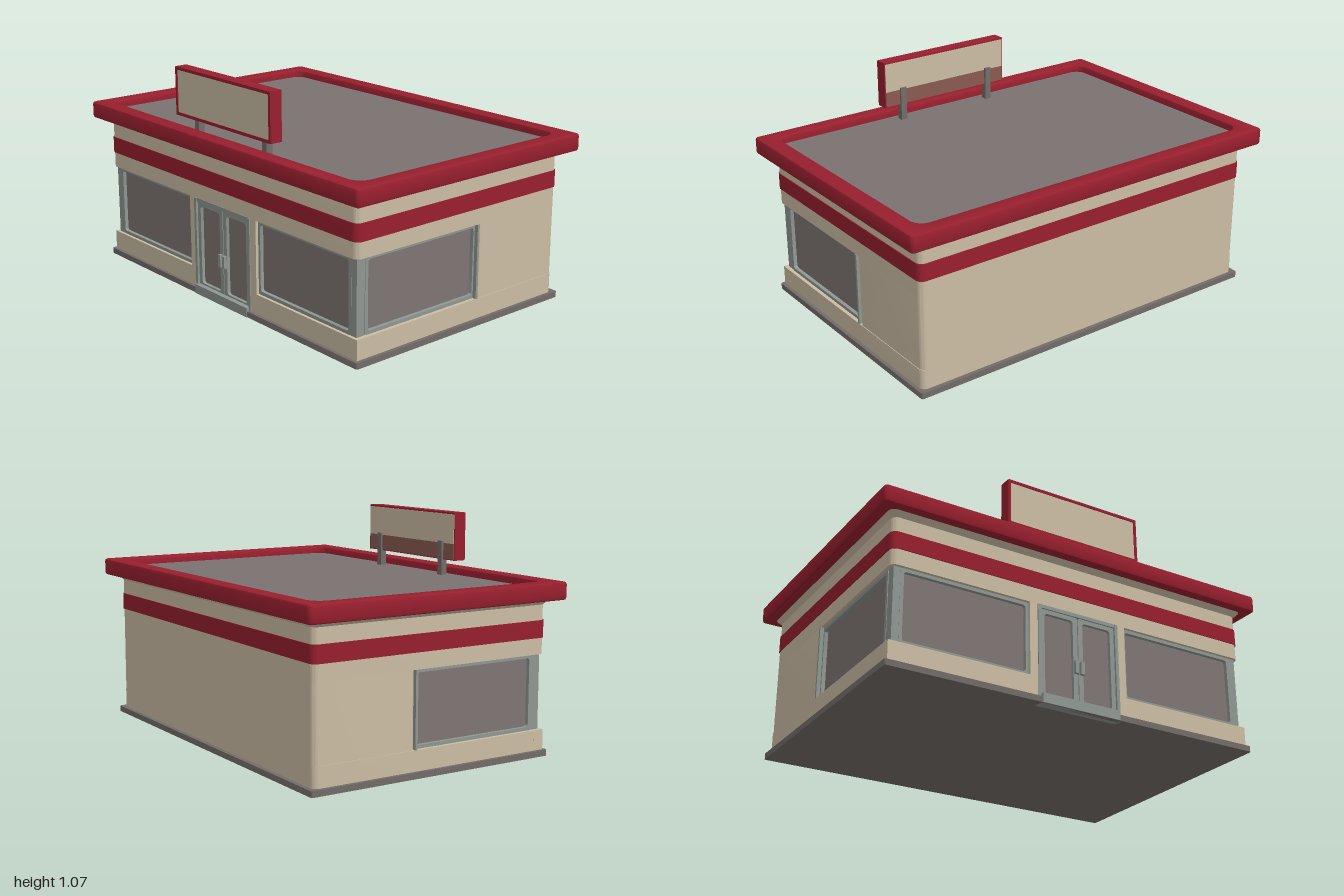
import * as THREE from 'three';
import { toCreasedNormals } from 'three/addons/utils/BufferGeometryUtils.js';

const mat = (name, color) => new THREE.MeshStandardMaterial({ name, color });

// Rounded rectangle outline
function outline(x0, x1, y0, y1, r, Type = THREE.Shape) {
  const s = new Type();
  s.moveTo(x0 + r, y0);
  s.lineTo(x1 - r, y0);
  s.absarc(x1 - r, y0 + r, r, -Math.PI / 2, 0);
  s.lineTo(x1, y1 - r);
  s.absarc(x1 - r, y1 - r, r, 0, Math.PI / 2);
  s.lineTo(x0 + r, y1);
  s.absarc(x0 + r, y1 - r, r, Math.PI / 2, Math.PI);
  s.lineTo(x0, y0 + r);
  s.absarc(x0 + r, y0 + r, r, Math.PI, Math.PI * 1.5);
  return s;
}

// Horizontal slab with rounded corners, optionally widened at its top
function slab(x, zBack, zFront, y0, y1, r, flare = 0) {
  const geo = new THREE.ExtrudeGeometry(outline(-x, x, -zFront, -zBack, r),
    { depth: y1 - y0, bevelEnabled: false, curveSegments: 5 });
  geo.rotateX(-Math.PI / 2);
  geo.translate(0, y0, 0);
  const p = geo.attributes.position;
  for (let i = 0; flare && i < p.count; i++) {
    if (p.getY(i) < (y0 + y1) / 2) continue;
    p.setX(i, p.getX(i) + Math.sign(p.getX(i)) * flare);
    p.setZ(i, p.getZ(i) + Math.sign(p.getZ(i)) * flare);
  }
  return toCreasedNormals(geo, 0.6);
}

// Upright frame around a rounded opening, centred on the origin
function frame(w, h, border, depth, r) {
  const s = outline(-w / 2, w / 2, -h / 2, h / 2, r);
  s.holes.push(outline(-w / 2 + border, w / 2 - border, -h / 2 + border, h / 2 - border, r, THREE.Path));
  return toCreasedNormals(new THREE.ExtrudeGeometry(s,
    { depth, bevelEnabled: false, curveSegments: 4 }), 0.6);
}

export function createModel() {
  const model = new THREE.Group();
  model.name = 'shop';
  const cream = mat('cream wall', 0xcbbda4);
  const red = mat('red trim', 0x981f2e);
  const roofGrey = mat('roof grey', 0x7a7270);
  const glass = mat('window glass', 0x7f7573);
  const metal = mat('frame metal', 0x8f9792);
  const stone = mat('base grey', 0x736c69);
  const rust = mat('dull red', 0x8a5a50);

  const add = (name, geo, material, parent = model) => {
    const m = new THREE.Mesh(geo, material);
    m.name = name;
    parent.add(m);
    return m;
  };
  const box = (name, x0, x1, y0, y1, z0, z1, material, parent) => {
    const m = add(name, new THREE.BoxGeometry(x1 - x0, y1 - y0, z1 - z0), material, parent);
    m.position.set((x0 + x1) / 2, (y0 + y1) / 2, (z0 + z1) / 2);
    return m;
  };

  // Foundation and walls
  add('foundation', slab(0.945, -0.635, 0.63, 0, 0.028, 0.01), stone);
  add('lowerWall', slab(0.928, -0.615, 0.585, 0.028, 0.122, 0.03), cream);
  add('rearWall', slab(0.925, -0.615, -0.1, 0.122, 0.47, 0.03), cream);
  add('upperWall', slab(0.925, -0.615, 0.615, 0.47, 0.695, 0.03), cream);
  add('cornice', slab(0.925, -0.615, 0.615, 0.695, 0.722, 0.03, 0.025), cream);
  add('stripe', slab(0.929, -0.619, 0.619, 0.545, 0.625, 0.033), red);
  box('glassCore', -0.893, 0.893, 0.122, 0.47, -0.12, 0.583, glass);

  for (const side of [-1, 1]) {
    const name = side < 0 ? 'right' : 'left';
    const span = (a, b) => (side > 0 ? [a, b] : [-b, -a]);

    // Front sill and door pier
    box(name + 'Sill', ...span(0.207, 0.928), 0.028, 0.122, 0.56, 0.615, cream);
    box(name + 'Pier', ...span(0.207, 0.252), 0.122, 0.47, 0.56, 0.615, cream);

    // Window frames meeting at the corner post
    const front = add(name + 'FrontWindowFrame', frame(0.625, 0.348, 0.016, 0.02, 0.012), metal);
    front.position.set(side * 0.5625, 0.296, 0.581);
    const flank = add(name + 'SideWindowFrame', frame(0.655, 0.348, 0.016, 0.02, 0.012), metal);
    flank.rotation.y = side * Math.PI / 2;
    flank.position.set(side * 0.891, 0.296, 0.228);
    box(name + 'CornerPost', ...span(0.872, 0.908), 0.122, 0.47, 0.555, 0.6, metal);
    box(name + 'RearTrim', ...span(0.9, 0.929), 0.122, 0.47, -0.104, -0.092, metal);

    // Door leaf with glass and pull handle
    const leaf = add(name + 'DoorLeaf', frame(0.196, 0.43, 0.024, 0.022, 0.014), metal);
    leaf.position.set(side * 0.1, 0.244, 0.588);
    box(name + 'DoorGlass', ...span(0.015, 0.19), 0.05, 0.445, 0.58, 0.594, glass);
    box(name + 'DoorHandle', ...span(0.006, 0.024), 0.18, 0.24, 0.605, 0.625, metal);
    box(name + 'DoorJamb', ...span(0.196, 0.212), 0, 0.47, 0.58, 0.62, metal);
  }
  box('doorBack', -0.2, 0.2, 0.028, 0.47, 0.56, 0.588, metal);
  box('doorHeader', -0.2, 0.2, 0.455, 0.472, 0.58, 0.617, metal);
  box('threshold', -0.2, 0.2, 0, 0.045, 0.58, 0.634, metal);

  // Roof deck inside a raised red rim
  add('roofDeck', slab(0.94, -0.62, 0.62, 0.722, 0.765, 0.05), roofGrey);
  const b = 0.012;
  const rimShape = outline(-1, 1, -0.68, 0.68, 0.02);
  rimShape.holes.push(outline(-0.915, 0.915, -0.598, 0.598, 0.055, THREE.Path));
  const rim = new THREE.ExtrudeGeometry(rimShape, {
    depth: 0.082 - 2 * b, bevelThickness: b, bevelSize: b, bevelOffset: -b, bevelSegments: 2, curveSegments: 5,
  });
  rim.rotateX(-Math.PI / 2);
  rim.translate(0, 0.718 + b, 0);
  add('roofRim', toCreasedNormals(rim, 0.7), red);

  // Rooftop sign on two posts
  const sign = new THREE.Group();
  sign.name = 'roofSign';
  model.add(sign);
  box('signBox', -0.355, 0.355, 0.84, 1.07, 0.543, 0.6, red, sign);
  const border = add('signBorder', frame(0.71, 0.23, 0.014, 0.006, 0.004), red, sign);
  border.position.set(0, 0.955, 0.6);
  box('signFace', -0.341, 0.341, 0.854, 1.056, 0.6, 0.602, cream, sign);
  box('signBack', -0.35, 0.35, 0.92, 1.062, 0.54, 0.543, cream, sign);
  box('signBackLower', -0.35, 0.35, 0.845, 0.92, 0.54, 0.543, rust, sign);
  for (const x of [-0.255, 0.255]) {
    box('signPost', x - 0.016, x + 0.016, 0.76, 0.93, 0.53, 0.562, stone, sign);
  }
  return model;
}
